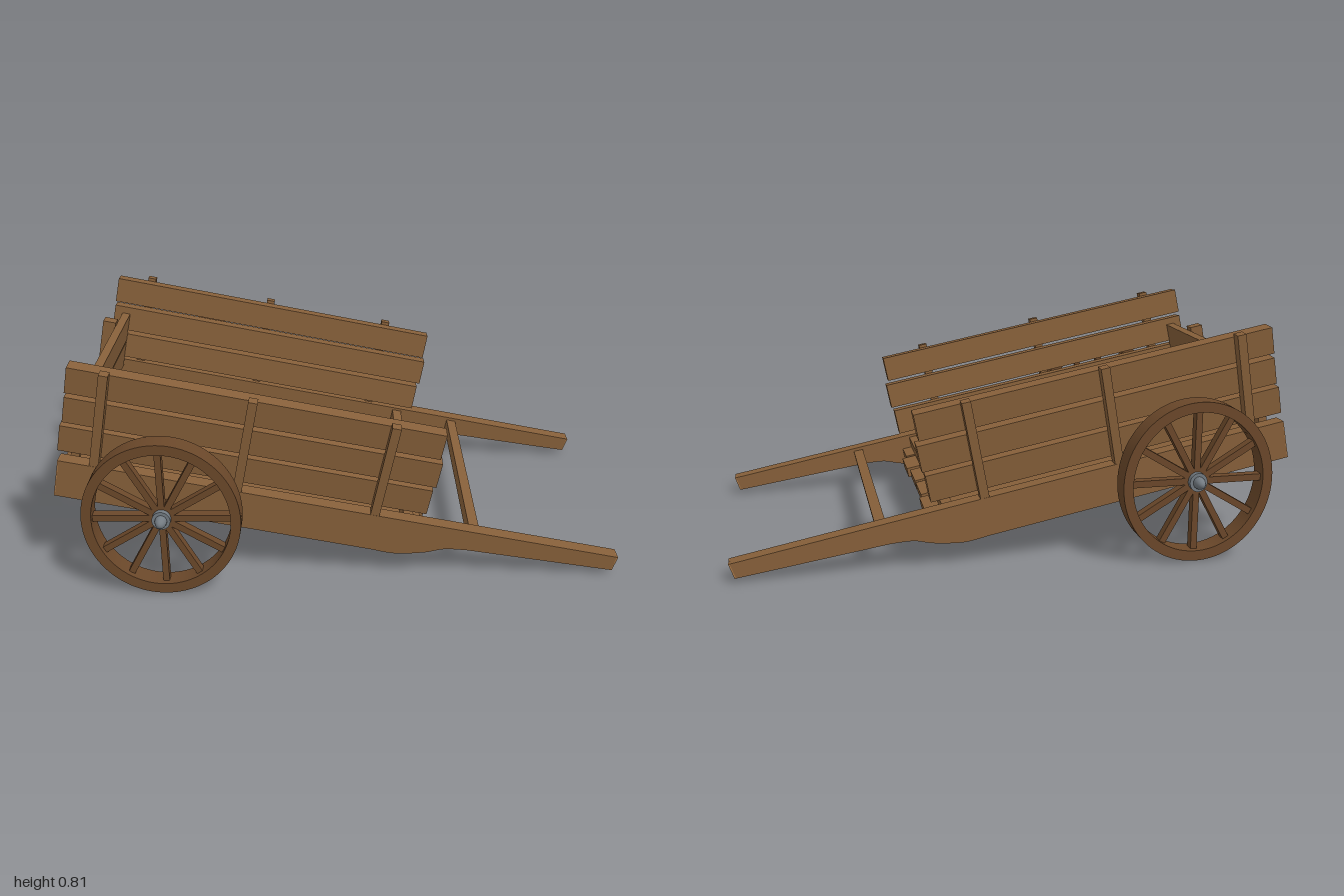
import * as THREE from 'three';
import { toCreasedNormals } from 'three/addons/utils/BufferGeometryUtils.js';

export function createModel() {
  const mat = (name, color) => {
    const m = new THREE.MeshStandardMaterial({ color });
    m.name = name;
    return m;
  };
  const wood = mat('wood', 0x87603a);
  const endGrain = mat('end grain', 0xa87849);
  const wheelWood = mat('wheel wood', 0x6b482a);
  const metal = mat('metal', 0x737b82);
  const plankMats = [endGrain, endGrain, wood, wood, wood, wood];

  const add = (parent, name, geometry, material, x = 0, y = 0, z = 0) => {
    const m = new THREE.Mesh(geometry, material);
    m.name = name;
    m.position.set(x, y, z);
    parent.add(m);
    return m;
  };
  // Box given by its limits on each axis
  const box = (parent, name, x0, x1, y0, y1, z0, z1, material = wood) =>
    add(parent, name, new THREE.BoxGeometry(x1 - x0, y1 - y0, z1 - z0), material,
      (x0 + x1) / 2, (y0 + y1) / 2, (z0 + z1) / 2);

  const cart = new THREE.Group();
  cart.name = 'cart';

  // Tilted body: local x runs down the shafts, y = 0 is the top of the side beams
  const body = new THREE.Group();
  body.name = 'body';
  body.position.set(-0.97, 0.46, 0);
  body.rotation.z = -0.196;
  cart.add(body);

  // Side beams that narrow into the pulling shafts
  const profile = new THREE.Shape();
  profile.moveTo(0, 0);
  profile.lineTo(0, -0.139);
  profile.lineTo(1.13, -0.139);
  profile.splineThru([[1.22, -0.139], [1.32, -0.115], [1.39, -0.087], [1.47, -0.076]]
    .map(([x, y]) => new THREE.Vector2(x, y)));
  profile.lineTo(2.0, -0.056);
  profile.lineTo(2.008, 0);
  const beamGeo = toCreasedNormals(
    new THREE.ExtrudeGeometry(profile, { depth: 0.056, bevelEnabled: false, curveSegments: 6 }), 0.5);

  for (const s of [1, -1]) {
    add(body, 'sideBeam', beamGeo, wood, 0, 0, s * 0.482 - 0.028);
    box(body, 'beamBackEnd', -0.003, 0.001, -0.139, 0, s * 0.482 - 0.028, s * 0.482 + 0.028, endGrain);
    const tip = box(body, 'shaftEnd', 2.002, 2.007, -0.056, 0, s * 0.482 - 0.028, s * 0.482 + 0.028, endGrain);
    tip.rotation.z = -0.14;

    // Outward-leaning side wall: three planks and three posts
    const wall = new THREE.Group();
    wall.name = 'sideWall';
    wall.position.z = s * 0.447;
    wall.rotation.x = s * 0.08;
    body.add(wall);
    for (const [x0, x1, y0, y1] of [
      [-0.013, 1.3, 0.024, 0.124], [-0.006, 1.308, 0.14, 0.238], [-0.007, 1.296, 0.255, 0.352]])
      box(wall, 'sidePlank', x0, x1, y0, y1, -0.027, 0.027, plankMats);
    for (const x of [0.122, 0.623, 1.116])
      box(wall, 'sidePost', x - 0.016, x + 0.016, 0.002, 0.364, s * 0.044 - 0.018, s * 0.044 + 0.018);
  }

  // Floor planks
  for (const [z0, z1, x0, x1] of [
    [-0.452, -0.35, 0, 1.3], [-0.335, -0.19, 0.012, 1.318], [-0.165, -0.015, 0, 1.308],
    [0.005, 0.152, 0.005, 1.308], [0.177, 0.322, 0.012, 1.318], [0.338, 0.452, 0, 1.3]])
    box(body, 'floorPlank', x0, x1, -0.09, -0.053, z0, z1);

  // Cross bars below the floor, front rail above it, and the handle bar
  for (const x of [0.11, 0.645, 1.13])
    box(body, 'crossBar', x - 0.018, x + 0.018, -0.122, -0.088, -0.456, 0.456);
  box(body, 'frontRail', 1.225, 1.262, -0.054, -0.01, -0.456, 0.456);
  box(body, 'handleBar', 1.467, 1.505, -0.052, -0.012, -0.456, 0.456);

  // Tailboard with two cleats behind it
  box(body, 'tailPlank', 0.027, 0.058, -0.022, 0.092, -0.432, 0.432);
  box(body, 'tailPlank', 0.027, 0.058, 0.098, 0.212, -0.438, 0.438);
  for (const z of [0.247, -0.29])
    box(body, 'tailCleat', -0.022, 0.028, -0.035, 0.229, z - 0.023, z + 0.023);

  // Axle
  const axle = add(cart, 'axle', new THREE.CylinderGeometry(0.019, 0.019, 1.16, 16), wheelWood, -0.61, 0.29, 0);
  axle.rotation.x = Math.PI / 2;

  // Wheels: rim, twelve spokes and a metal hub
  const ring = new THREE.Shape().absarc(0, 0, 0.289, 0, Math.PI * 2);
  ring.holes.push(new THREE.Path().absarc(0, 0, 0.252, 0, Math.PI * 2, true));
  const rimGeo = toCreasedNormals(
    new THREE.ExtrudeGeometry(ring, { depth: 0.074, bevelEnabled: false, curveSegments: 48 }), 0.5);
  const spokeGeo = new THREE.BoxGeometry(0.235, 0.024, 0.032).translate(0.1385, 0, 0);
  const hubGeo = new THREE.CylinderGeometry(0.034, 0.034, 0.07, 24).rotateX(Math.PI / 2);
  const capGeo = new THREE.SphereGeometry(0.022, 20, 12).scale(1, 1, 1.6);

  for (const s of [1, -1]) {
    const wheel = new THREE.Group();
    wheel.name = 'wheel';
    wheel.position.set(-0.61, 0.289, s * 0.593);
    wheel.scale.x = 0.945;
    cart.add(wheel);
    add(wheel, 'rim', rimGeo, wheelWood, 0, 0, -0.037);
    for (let i = 0; i < 12; i++)
      add(wheel, 'spoke', spokeGeo, wheelWood).rotation.z = i * Math.PI / 6;
    add(wheel, 'hub', hubGeo, metal);
    add(wheel, 'hubCap', capGeo, metal, 0, 0, s * 0.037);
  }

  return cart;
}
